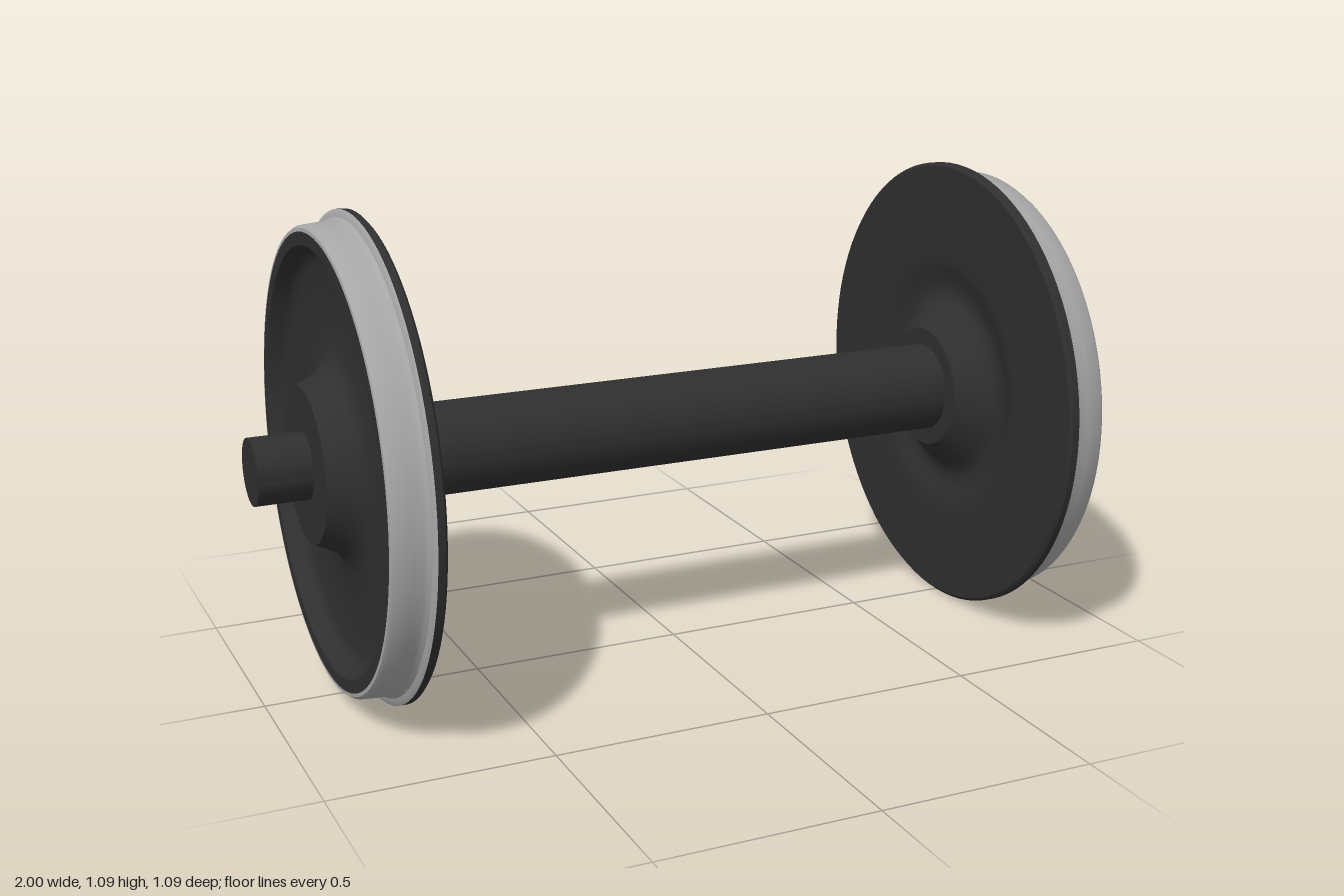
import * as THREE from 'three';
import { toCreasedNormals } from 'three/addons/utils/BufferGeometryUtils.js';

const R = 0.547; // flange radius, also the height of the axle

// Revolves [radius, x] points around the x axis, keeping sharp edges
function revolve(name, points, material) {
  const lathe = new THREE.LatheGeometry(points.map(([r, x]) => new THREE.Vector2(r, x)), 96);
  lathe.rotateZ(-Math.PI / 2);
  const mesh = new THREE.Mesh(toCreasedNormals(lathe, 0.6), material);
  mesh.name = name;
  return mesh;
}

export function createModel() {
  const dark = new THREE.MeshStandardMaterial({ color: 0x2f2f2f });
  dark.name = 'dark painted steel';
  const bright = new THREE.MeshStandardMaterial({ color: 0xa6a6a6 });
  bright.name = 'worn bright steel';

  const model = new THREE.Group();
  model.name = 'wheelset';

  // Axle shaft with a thinner journal at each end
  model.add(revolve('axle', [
    [0, -1], [0.075, -1], [0.075, -0.87], [0.105, -0.87],
    [0.105, 0.87], [0.075, 0.87], [0.075, 1], [0, 1],
  ], dark));

  for (const side of ['left', 'right']) {
    const wheel = new THREE.Group();
    wheel.name = side + 'Wheel';

    // Inner face: conical hub, shallow recess, flat web and flange edge
    wheel.add(revolve('innerFace', [
      [0.1, 0.68], [0.145, 0.68], [0.2, 0.735], [0.215, 0.748], [0.235, 0.753],
      [0.26, 0.75], [0.285, 0.741], [0.305, 0.736], [0.33, 0.735],
      [0.54, 0.735], [0.547, 0.741], [0.547, 0.757],
    ], dark));

    // Running surface: flange root, slightly conical tread, chamfer
    wheel.add(revolve('tread', [
      [0.547, 0.757], [0.541, 0.761], [0.53, 0.764], [0.525, 0.77], [0.523, 0.778],
      [0.522, 0.8], [0.519, 0.836], [0.513, 0.844], [0.505, 0.845],
    ], bright));

    // Outer face: rim, dished web and hub boss
    wheel.add(revolve('outerFace', [
      [0.505, 0.845], [0.476, 0.845], [0.468, 0.836], [0.46, 0.815], [0.448, 0.804],
      [0.43, 0.8], [0.33, 0.797], [0.25, 0.8], [0.222, 0.808], [0.203, 0.823],
      [0.192, 0.845], [0.175, 0.88], [0, 0.88],
    ], dark));

    if (side === 'right') wheel.rotation.y = Math.PI;
    model.add(wheel);
  }

  model.children.forEach((part) => { part.position.y = R; });
  return model;
}
